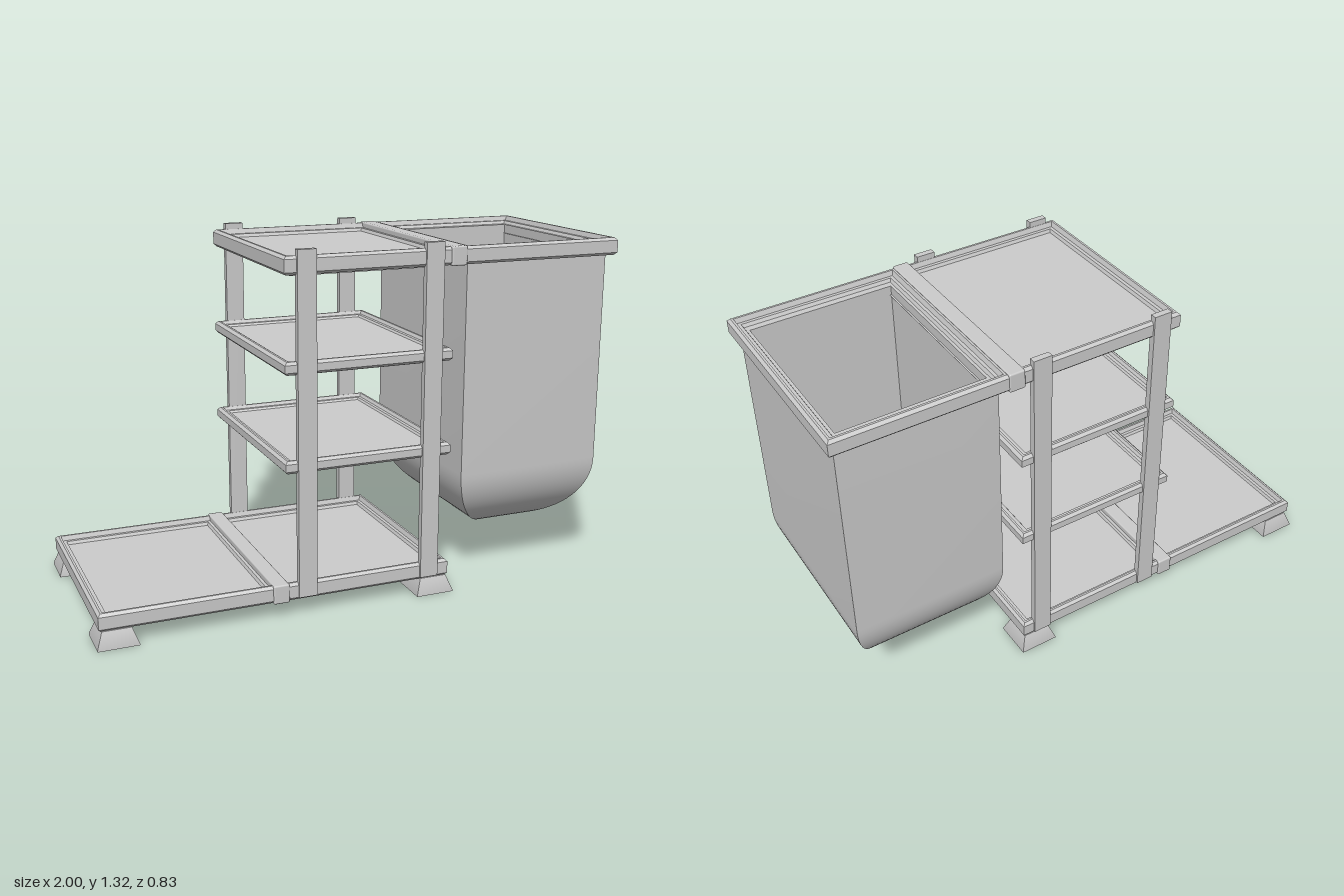
import * as THREE from 'three';
import { toCreasedNormals } from 'three/addons/utils/BufferGeometryUtils.js';
import { RoundedBoxGeometry } from 'three/addons/geometries/RoundedBoxGeometry.js';

const grey = new THREE.MeshStandardMaterial({ color: 0xcccccc });

// Skin over rectangular sections [halfX, halfZ, y]; the list runs bottom, outside, top, inside.
function loft(sections, caps = true) {
  const corners = [[1, 1], [1, -1], [-1, -1], [-1, 1]];
  const pos = [], idx = [];
  for (const [hx, hz, y] of sections) for (const [sx, sz] of corners) pos.push(sx * hx, y, sz * hz);
  for (let i = 0; i < sections.length - 1; i++) {
    for (let k = 0; k < 4; k++) {
      const a = i * 4 + k, b = i * 4 + (k + 1) % 4;
      idx.push(a, b, b + 4, a, b + 4, a + 4);
    }
  }
  if (caps) {
    const e = (sections.length - 1) * 4;
    idx.push(0, 2, 1, 0, 3, 2, e, e + 1, e + 2, e, e + 2, e + 3);
  }
  const g = new THREE.BufferGeometry();
  g.setAttribute('position', new THREE.Float32BufferAttribute(pos, 3));
  g.setIndex(idx);
  return toCreasedNormals(g, 0.5);
}

// Rectangular sections from [inset, y] pairs
const inset = (hx, hz, pairs) => pairs.map(([d, y]) => [hx - d, hz - d, y]);

export function createModel() {
  const model = new THREE.Group();
  const add = (name, geometry, x = 0, y = 0, z = 0) => {
    const mesh = new THREE.Mesh(geometry, grey);
    mesh.name = name;
    mesh.position.set(x, y, z);
    model.add(mesh);
  };

  // Trays: bevelled rim around a sunken floor, with a panel showing slightly below
  const tray = (name, x0, x1, y0, y1, depth) => {
    const hx = (x1 - x0) / 2;
    add(name, loft(inset(hx, 0.397, [
      [0.035, y0 - 0.007], [0.035, y0], [0.01, y0], [0, y0 + 0.01],
      [0, y1 - 0.01], [0.01, y1], [0.018, y1], [0.024, y1 - depth * 0.6],
      [0.037, y1 - depth * 0.6], [0.042, y1 - depth],
    ])), (x0 + x1) / 2);
  };
  tray('lowerOuterTray', -0.99, -0.34, 0.06, 0.125, 0.03);
  tray('lowerInnerTray', -0.33, 0.325, 0.06, 0.125, 0.03);
  tray('lowerShelf', -0.315, 0.325, 0.533, 0.58, 0.02);
  tray('upperShelf', -0.315, 0.325, 0.885, 0.932, 0.02);
  tray('topTray', -0.315, 0.335, 1.228, 1.293, 0.03);

  // Joining strips between neighbouring trays
  for (const [name, x, y] of [['lowerJoiningStrip', -0.335, 0.093], ['upperJoiningStrip', 0.34, 1.261]]) {
    add(name, new RoundedBoxGeometry(0.06, 0.07, 0.806, 2, 0.006), x, y);
  }

  // Posts
  for (const x of [-0.235, 0.245]) {
    for (const s of [1, -1]) add('post', new THREE.BoxGeometry(0.07, 1.245, 0.024), x, 0.6925, s * 0.392);
  }

  // Hollow flared feet
  const foot = loft([
    [0.042, 0.042, 0.045], [0.058, 0.058, 0], [0.073, 0.073, 0],
    [0.073, 0.073, 0.006], [0.052, 0.052, 0.062],
  ]);
  for (const x of [-0.927, 0.267]) {
    for (const s of [1, -1]) add('foot', foot, x, 0, s * 0.342);
  }

  // Hanging bin: rounded bottom, straight walls, hollow inside
  const r = 0.278, bin = [];
  for (let i = 0; i <= 20; i++) {
    const a = (i / 20) * Math.PI / 2;
    const d = r * (1 - Math.sin(a));
    bin.push([0.29 - d, 0.365 - d, 0.157 + r * (1 - Math.cos(a))]);
  }
  bin.push([0.29, 0.365, 1.25], [0.265, 0.333, 1.25], [0.265, 0.333, 0.45]);
  add('bin', loft(bin), 0.68);

  // Bin rim: closed ring with a raised lip and an inner ledge
  add('binRim', loft(inset(0.318, 0.4, [
    [0.06, 1.228], [0.01, 1.228], [0, 1.238], [0, 1.283], [0.01, 1.293],
    [0.018, 1.293], [0.024, 1.275], [0.036, 1.275], [0.042, 1.263],
  ]).concat([[0.265, 0.333, 1.263], [0.265, 0.333, 1.228], [0.258, 0.34, 1.228]]), false), 0.68);

  return model;
}
